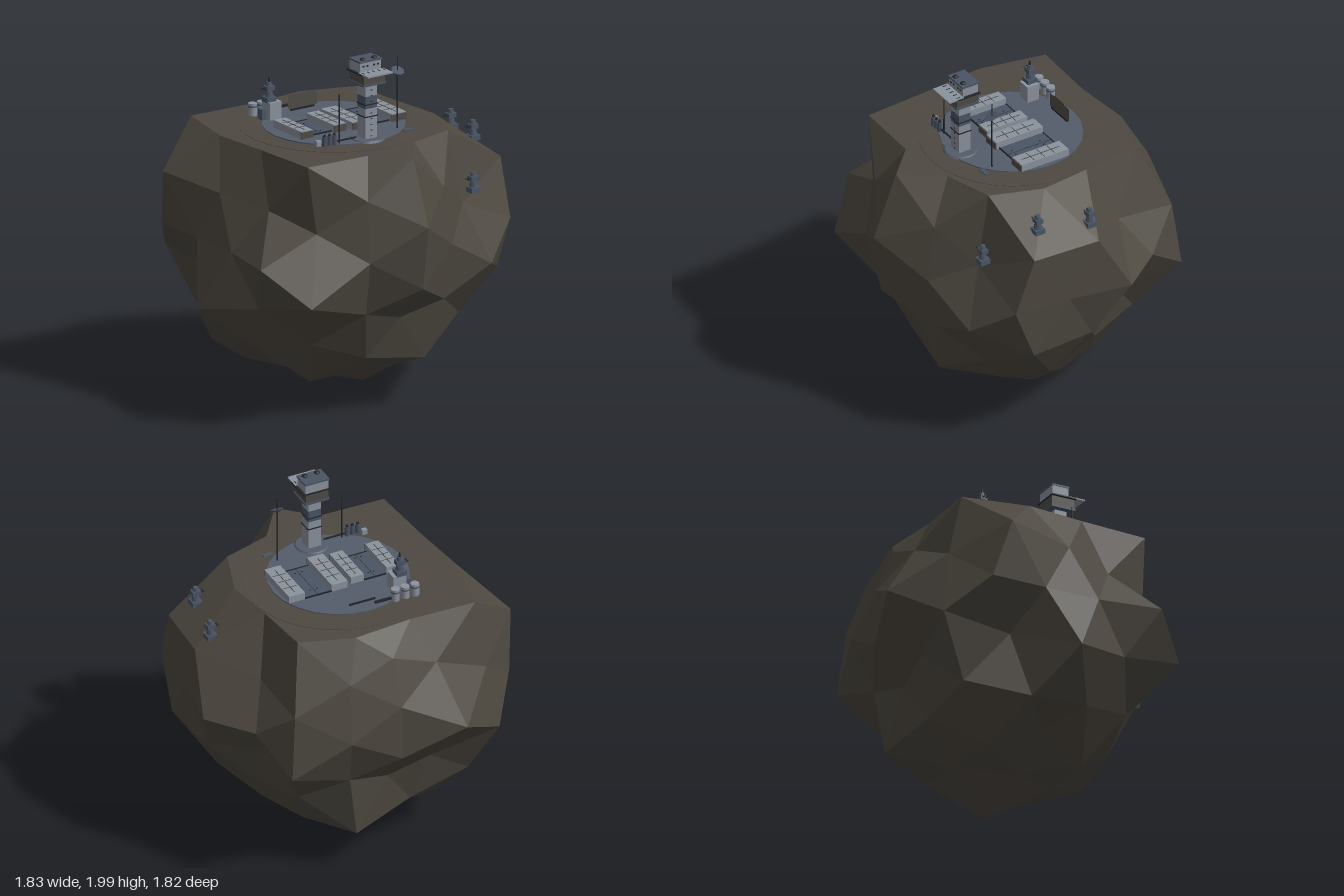
import * as THREE from 'three';

const mat = (name, color, extra = {}) => {
  const m = new THREE.MeshStandardMaterial({ color, ...extra });
  m.name = name;
  return m;
};

// Rock radii: a direction, then one radius per sign combination (+ before -, x then y then z)
const ROCK = [
  [[0.526, 0.851, 0], [0.9, 0.88, 0.9, 0.81]],
  [[0, 0.526, 0.851], [0.9, 0.81, 0.75, 0.73]],
  [[0.851, 0, 0.526], [0.97, 0.85, 1.01, 0.95]],
  [[0.2, 0.98, 0], [0.9, 0.98, 0.9, 0.86]],
  [[0, 0.2, 0.98], [0.93, 0.81, 0.877, 0.82]],
  [[0.98, 0, 0.2], [0.87, 0.935, 0.82, 0.82]],
  [[0.404, 0.855, 0.327], [0.9, 0.9, 0.88, 0.88, 0.9, 0.9, 0.92, 0.945]],
  [[0.327, 0.404, 0.855], [0.8, 0.82, 0.8, 0.78, 0.85, 0.81, 0.8, 0.76]],
  [[0.855, 0.327, 0.404], [0.98, 0.72, 0.96, 0.71, 0.76, 1.01, 0.88, 0.73]],
  [[0.202, 0.73, 0.653], [0.82, 0.9, 0.92, 0.965, 0.9, 0.85, 0.85, 0.85]],
  [[0.653, 0.202, 0.73], [0.74, 0.9, 0.91, 0.955, 0.8, 0.9, 1.02, 0.98]],
  [[0.73, 0.653, 0.202], [0.76, 0.71, 0.89, 0.79, 0.83, 0.88, 0.88, 0.94]],
  [[0.577, 0.577, 0.577], [0.78, 0.845, 0.85, 0.82, 1.0, 0.98, 0.87, 0.93]],
  [[0.357, 0, 0.934], [0.79, 0.84, 0.83, 0.975]],
  [[0.934, 0.357, 0], [0.935, 0.86, 0.82, 0.98]],
  [[0, 0.934, 0.357], [0.9, 0.9, 0.84, 0.85]],
];
const CENTRE = 0.964, FLAT = 0.556, GROUND = 1.52;

function rockGeometry() {
  const samples = [];
  for (const [d, radii] of ROCK) {
    const signs = (v) => (v ? [1, -1] : [1]);
    let i = 0;
    for (const sx of signs(d[0])) for (const sy of signs(d[1])) for (const sz of signs(d[2]))
      samples.push([new THREE.Vector3(d[0] * sx, d[1] * sy, d[2] * sz), radii[i++]]);
  }
  const geo = new THREE.IcosahedronGeometry(1, 2);
  const pos = geo.attributes.position, v = new THREE.Vector3();
  for (let i = 0; i < pos.count; i++) {
    v.fromBufferAttribute(pos, i);
    let best = -2, r = 0.9;
    for (const [dir, radius] of samples) {
      const dot = dir.dot(v);
      if (dot > best) { best = dot; r = radius; }
    }
    v.multiplyScalar(r);
    if (v.y > 0.445) v.y = FLAT; // level the summit
    pos.setXYZ(i, v.x, v.y + CENTRE, v.z);
  }
  geo.computeVertexNormals();
  return geo;
}

export function createModel() {
  const rock = mat('rock', 0x4d4840, { flatShading: true });
  const pad = mat('padGrey', 0x555d6b);
  const light = mat('lightPanel', 0x8a929d);
  const mid = mat('blueGrey', 0x4a5464);
  const brown = mat('brownMetal', 0x4e4b45);
  const dark = mat('darkMetal', 0x23262c);

  const root = new THREE.Group();
  root.name = 'asteroidBase';
  const group = (name, x = 0, y = 0, z = 0) => {
    const g = new THREE.Group();
    g.name = name;
    g.position.set(x, y, z);
    root.add(g);
    return g;
  };
  const add = (parent, name, geo, material, x, y, z) => {
    const m = new THREE.Mesh(geo, material);
    m.name = name;
    m.position.set(x, y, z);
    parent.add(m);
    return m;
  };
  // boxes and cylinders are placed by the centre of their underside
  const box = (p, name, m, x, y, z, w, h, d) =>
    add(p, name, new THREE.BoxGeometry(w, h, d), m, x, y + h / 2, z);
  const cyl = (p, name, m, x, y, z, r, h, rTop = r, n = 12) =>
    add(p, name, new THREE.CylinderGeometry(rTop, r, h, n), m, x, y + h / 2, z);

  // Rock and landing ground
  add(root, 'rock', rockGeometry(), rock, 0, 0, 0);
  cyl(root, 'groundDisc', rock, 0, GROUND - 0.01, 0, 0.53, 0.012, 0.53, 32);
  cyl(root, 'pad', pad, -0.01, GROUND - 0.005, 0.01, 0.397, 0.013, 0.397, 24);
  const top = GROUND + 0.008;

  // Two hangar bays, each a sunken door between two long roofed blocks
  const bay = (name, x0, x1, w, z0, z1) => {
    const g = group(name, 0, top, 0);
    const zc = (z0 + z1) / 2, len = z1 - z0, xc = (x0 + x1) / 2, door = x1 - x0 - 2 * w;
    box(g, 'door', mid, xc, 0, zc - 0.01, door, 0.005, len - 0.02);
    box(g, 'doorSeam', dark, xc, 0.004, zc - 0.01, 0.002, 0.002, len - 0.03);
    for (const z of [z0 + 0.002, z1 - 0.02]) box(g, 'doorSill', dark, xc, 0, z, door, 0.009, 0.005);
    for (const s of [-1, 1]) for (const t of [-0.3, 0.3])
      cyl(g, 'doorLamp', dark, xc + s * door * 0.12, 0.004, zc + t * len, 0.004, 0.004, 0.004, 8);
    for (const x of [x0 + w / 2, x1 - w / 2]) {
      box(g, 'block', light, x, 0, zc, w, 0.043, len);
      box(g, 'blockFront', brown, x, 0, z1 + 0.002, w, 0.038, 0.008);
      box(g, 'roofRidge', brown, x, 0.042, zc, 0.004, 0.003, len * 0.8);
      for (let i = -1; i <= 1; i++)
        box(g, 'roofRib', brown, x, 0.042, zc + i * len * 0.22, w * 0.85, 0.003, 0.003);
    }
  };
  bay('smallBay', -0.33, -0.03, 0.08, -0.11, 0.155);
  bay('largeBay', 0.0, 0.36, 0.098, -0.13, 0.175);

  // Control tower
  const tower = group('controlTower', -0.012, top, 0.337);
  cyl(tower, 'footing', pad, 0, -0.005, 0, 0.1, 0.012, 0.09, 16);
  for (const [y, h, m] of [[0, 0.18, light], [0.18, 0.07, mid], [0.25, 0.075, light]])
    box(tower, 'shaft', m, 0, y, 0, 0.078, h, 0.075);
  for (const y of [0.13, 0.2]) box(tower, 'shaftBand', dark, 0, y, 0, 0.086, 0.006, 0.083);
  for (let i = 0; i < 9; i++) box(tower, 'rung', dark, 0, 0.02 + i * 0.033, 0.04, 0.012, 0.003, 0.006);
  box(tower, 'cabBase', mid, 0, 0.32, 0, 0.15, 0.012, 0.145);
  box(tower, 'cab', brown, 0, 0.332, 0, 0.14, 0.055, 0.14);
  box(tower, 'cabDeck', dark, 0, 0.387, 0, 0.172, 0.007, 0.15);
  box(tower, 'balcony', light, 0, 0.389, 0.08, 0.168, 0.008, 0.095);
  for (let i = -2; i <= 2; i++) box(tower, 'balconyMark', dark, i * 0.035, 0.397, 0.06, 0.004, 0.002, 0.025);
  box(tower, 'upperCab', light, 0, 0.394, -0.018, 0.142, 0.056, 0.1);
  box(tower, 'roof', mid, 0, 0.448, -0.018, 0.15, 0.01, 0.108);
  for (const s of [-1, 1]) {
    for (const a of [0.022, 0.048]) box(tower, 'window', dark, s * a, 0.422, 0.032, 0.013, 0.009, 0.004);
    const dome = add(tower, 'roofDome', new THREE.SphereGeometry(0.017, 12, 6, 0, Math.PI * 2, 0, Math.PI / 2), dark, s * 0.038, 0.457, 0.01);
    dome.scale.y = 0.8;
  }

  // Dish mast and whip mast
  const mast = group('dishMast', 0.225, top, 0.285);
  cyl(mast, 'mastPole', dark, 0, 0, 0, 0.005, 0.41, 0.003, 8);
  const dish = cyl(mast, 'dish', mid, 0, 0.32, 0, 0.012, 0.014, 0.037, 16);
  dish.rotation.x = 0.45;
  box(root, 'hatch', mid, 0.25, top, 0.35, 0.06, 0.006, 0.025);
  cyl(root, 'whipMast', dark, -0.195, top, 0.33, 0.005, 0.28, 0.003, 8);

  // Fuel plant beside the tower
  const plant = group('fuelPlant', 0, top, 0.335);
  box(plant, 'pump', light, -0.32, 0, -0.028, 0.03, 0.03, 0.025);
  for (const x of [-0.295, -0.262, -0.23]) {
    cyl(plant, 'smallTank', mid, x, 0, 0, 0.015, 0.055, 0.015, 10);
    cyl(plant, 'smallTankCap', dark, x, 0.055, 0, 0.01, 0.012, 0.006, 8);
  }
  box(plant, 'pipe', dark, -0.2, 0.012, 0, 0.23, 0.008, 0.008);

  // Storage tanks at the back
  const tanks = group('storageTanks', 0, top, -0.355);
  for (const x of [-0.3, -0.24, -0.18]) {
    cyl(tanks, 'tank', light, x, 0, 0, 0.025, 0.072, 0.025, 14);
    cyl(tanks, 'tankBand', mid, x, 0.05, 0, 0.0262, 0.008, 0.0262, 14);
  }
  box(tanks, 'feedPipe', dark, -0.105, 0.012, 0, 0.1, 0.012, 0.014);

  // One-sided screen facing the bays, on a low rail
  const screen = group('screenWall', -0.005, top, -0.3);
  add(screen, 'screenPanel', new THREE.PlaneGeometry(0.195, 0.082), brown, 0, 0.053, 0);
  box(screen, 'screenRail', dark, 0, 0, 0, 0.16, 0.012, 0.004);

  // Gun turrets
  const turret = (x, y, z) => {
    const g = group('turret', x, y, z);
    box(g, 'turretFoot', mid, 0, -0.01, 0, 0.06, 0.03, 0.06);
    cyl(g, 'turretNeck', mid, 0, 0.02, 0, 0.024, 0.036, 0.018, 8);
    box(g, 'turretHead', mid, 0, 0.056, 0, 0.05, 0.026, 0.04);
    cyl(g, 'turretCap', mid, 0, 0.082, 0, 0.018, 0.022, 0.014, 8);
    for (const s of [-1, 1]) box(g, 'barrel', dark, -0.035, 0.066, s * 0.009, 0.026, 0.005, 0.005);
    return g;
  };
  turret(0.72, 1.385, 0.3);
  turret(0.78, 1.36, 0);
  turret(0.55, 1.18, 0.55);

  // Raised turret on its bunker
  box(root, 'bunker', light, -0.24, top, -0.255, 0.08, 0.1, 0.075);
  box(root, 'bunkerAnnex', mid, -0.285, top, -0.27, 0.05, 0.06, 0.04);
  const raised = turret(-0.252, top + 0.105, -0.265);
  raised.name = 'raisedTurret';
  cyl(raised, 'turretAerial', dark, 0, 0.1, 0, 0.008, 0.03, 0.004, 8);

  return root;
}
